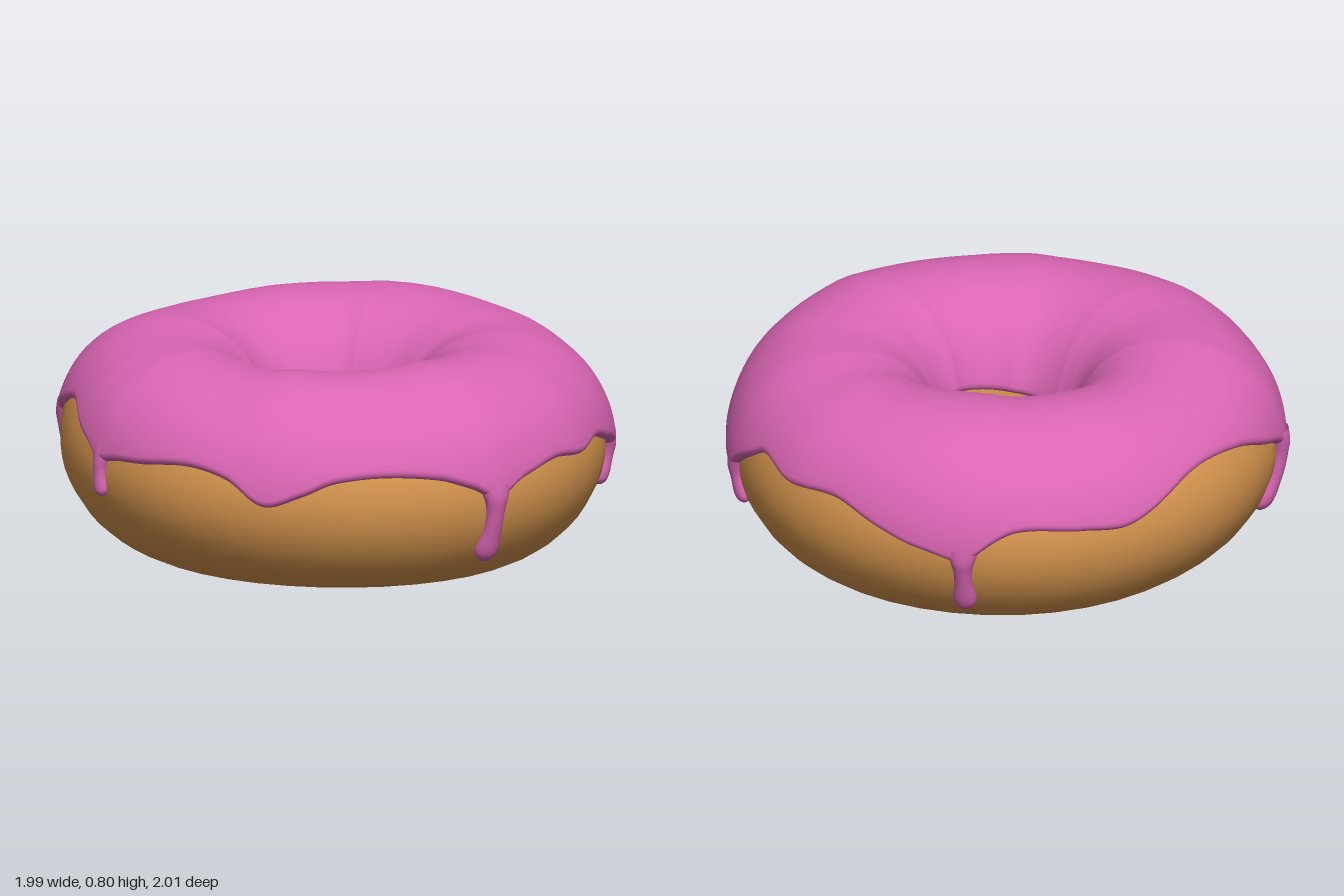
import * as THREE from 'three';

const DEG = Math.PI / 180;

// Ring cross-section (radius, height), from the underside outward, over the top and down the hole
const profile = new THREE.CatmullRomCurve3([
  [0.6, 0.01], [0.74, 0.022], [0.87, 0.11], [0.955, 0.24], [0.985, 0.37],
  [0.965, 0.5], [0.9, 0.62], [0.78, 0.715], [0.62, 0.755], [0.46, 0.725],
  [0.35, 0.64], [0.28, 0.5], [0.265, 0.36], [0.32, 0.19], [0.44, 0.06],
].map(([r, y]) => new THREE.Vector3(r, y, 0)), true);
const TOP = 8 / 15;

// Icing hem height around the outside: [degrees from front toward +x, height]
const HEM = [
  [0, 0.47], [7, 0.43], [13, 0.4], [21, 0.44], [31, 0.47], [41, 0.45], [50, 0.47], [60, 0.42],
  [69, 0.385], [78, 0.46], [85, 0.52], [96, 0.485], [110, 0.5], [121, 0.44], [130, 0.39],
  [140, 0.37], [151, 0.46], [165, 0.45], [176, 0.44], [195, 0.55], [211, 0.54], [226, 0.45],
  [233, 0.42], [243, 0.48], [257, 0.56], [270, 0.49], [279, 0.45], [290, 0.46], [304, 0.49],
  [314, 0.46], [322, 0.38], [330, 0.42], [337, 0.47], [348, 0.49],
];

// Drips: [degrees, tip height, half width]
const DRIPS = [[12.8, 0.14, 0.045], [69, 0.215, 0.034], [140, 0.14, 0.043], [233, 0.14, 0.045], [278.7, 0.3, 0.03]];

function hemHeight(deg) {
  const n = HEM.length;
  const key = (i) => {
    const [a, h] = HEM[(i + n) % n];
    return [a + 360 * Math.floor(i / n), h];
  };
  let i = 0;
  while (i < n - 1 && HEM[i + 1][0] <= deg) i++;
  const [p0, p1, p2, p3] = [key(i - 1), key(i), key(i + 1), key(i + 2)];
  const w = p2[0] - p1[0], t = (deg - p1[0]) / w;
  const m1 = (p2[1] - p0[1]) / (p2[0] - p0[0]) * w, m2 = (p3[1] - p1[1]) / (p3[0] - p1[0]) * w;
  let h = (2 * t ** 3 - 3 * t * t + 1) * p1[1] + (t ** 3 - 2 * t * t + t) * m1
    + (3 * t * t - 2 * t ** 3) * p2[1] + (t ** 3 - t * t) * m2;
  // funnel where a drip leaves the hem
  for (const [a] of DRIPS) h -= 0.02 * Math.exp(-(((deg - a) / 3.5) ** 2));
  return h;
}

// Profile parameter at a given height, between a low end and the top
function paramAt(y, low) {
  let a = low, b = TOP;
  for (let k = 0; k < 24; k++) {
    const m = (a + b) / 2;
    if (profile.getPoint(m).y < y) a = m; else b = m;
  }
  return a;
}

// Point on the ring, pushed out along the normal; the whole ring is slightly uneven
function ringPoint(u, phi, offset = 0) {
  const p = profile.getPoint(u), t = profile.getTangent(u);
  const wob = 1 + 0.005 * Math.sin(3 * phi + 0.6) + 0.003 * Math.sin(5 * phi);
  const r = p.x * wob + t.y * offset;
  const x = r * Math.sin(phi);
  const y = p.y - t.x * offset - 0.01 * x;
  return new THREE.Vector3(x, y, r * Math.cos(phi));
}

// Skin over a grid of points: columns wrap round, rows wrap if asked
function skin(cols, rows, wrapRows, point) {
  const pos = [], idx = [];
  for (let i = 0; i < cols; i++) for (let j = 0; j < rows; j++) pos.push(...point(i, j).toArray());
  for (let i = 0; i < cols; i++) {
    for (let j = 0; j < (wrapRows ? rows : rows - 1); j++) {
      const i2 = (i + 1) % cols, j2 = (j + 1) % rows;
      const a = i * rows + j, b = i2 * rows + j, c = i2 * rows + j2, d = i * rows + j2;
      idx.push(a, b, c, a, c, d);
    }
  }
  const g = new THREE.BufferGeometry();
  g.setAttribute('position', new THREE.Float32BufferAttribute(pos, 3));
  g.setIndex(idx);
  g.computeVertexNormals();
  return g;
}

function icingGeometry() {
  const cols = 360, lip = 6, mid = 28, rows = 2 * lip + mid, lipWidth = 0.013;
  const columns = Array.from({ length: cols }, (_, i) => {
    const h = hemHeight(i * 360 / cols), phi = i * 360 / cols * DEG;
    return {
      phi,
      outer: paramAt(h, 0.02),
      inner: paramAt(0.44 + 0.02 * Math.sin(2 * phi + 1), 12 / 15),
      // heavier icing where it has run further down
      thick: 0.02 + 0.014 * THREE.MathUtils.clamp((0.55 - h) / 0.17, 0, 1),
    };
  });
  return skin(cols, rows, false, (i, j) => {
    const { phi, outer, inner, thick } = columns[i];
    const k = Math.min(j, rows - 1 - j);
    let u, off = thick;
    if (k < lip) { // rounded lip at each hem
      const a = (-25 + 115 * k / (lip - 1)) * DEG;
      const d = lipWidth * (1 - Math.cos(a));
      off = thick * Math.sin(a);
      u = j < lip ? outer + d : inner - d;
    } else {
      const t = (j - lip + 1) / (mid + 1);
      u = THREE.MathUtils.lerp(outer + lipWidth, inner - lipWidth, t);
      // soft swells over the top
      off += Math.sin(Math.PI * t) * 0.008 * Math.sin(3 * phi + 0.9);
    }
    return ringPoint(u, phi, off);
  });
}

function dripGeometry([deg, tip, w]) {
  const phi = deg * DEG, rows = 30, start = hemHeight(deg) + 0.05, length = start - tip;
  const side = new THREE.Vector3(Math.cos(phi), 0, -Math.sin(phi));
  return skin(20, rows, false, (i, j) => {
    const s = length * (j / (rows - 1)) ** 1.5; // distance up from the tip
    const round = s < w ? Math.sqrt(1 - (1 - s / w) ** 2) : 1;
    const neck = 0.74 + 0.26 * Math.exp(-((Math.max(0, s - w) / 0.05) ** 2));
    const flare = 0.025 * Math.exp(-(((length - s) / 0.06) ** 2));
    const r = w * round * neck + flare;
    const a = i / 20 * Math.PI * 2;
    const u = paramAt(tip + s, 0.02);
    const depth = Math.min(r, w) * 0.85 * Math.sin(a) + 0.006;
    return ringPoint(u, phi, depth).addScaledVector(side, -r * Math.cos(a));
  });
}

export function createModel() {
  const group = new THREE.Group();
  const dough = new THREE.MeshStandardMaterial({ color: 0xd8964f });
  const icing = new THREE.MeshStandardMaterial({ color: 0xdb66b4, side: THREE.DoubleSide });
  const add = (name, geometry, material) => {
    const mesh = new THREE.Mesh(geometry, material);
    mesh.name = name;
    group.add(mesh);
  };

  // Baked ring
  add('dough', skin(40, 45, true, (i, j) => ringPoint(j / 45, i / 40 * Math.PI * 2)), dough);
  // Glaze with a wavy hem, and the runs hanging from it
  add('icing', icingGeometry(), icing);
  DRIPS.forEach((d, i) => add(`icingDrip${i + 1}`, dripGeometry(d), icing));
  return group;
}
